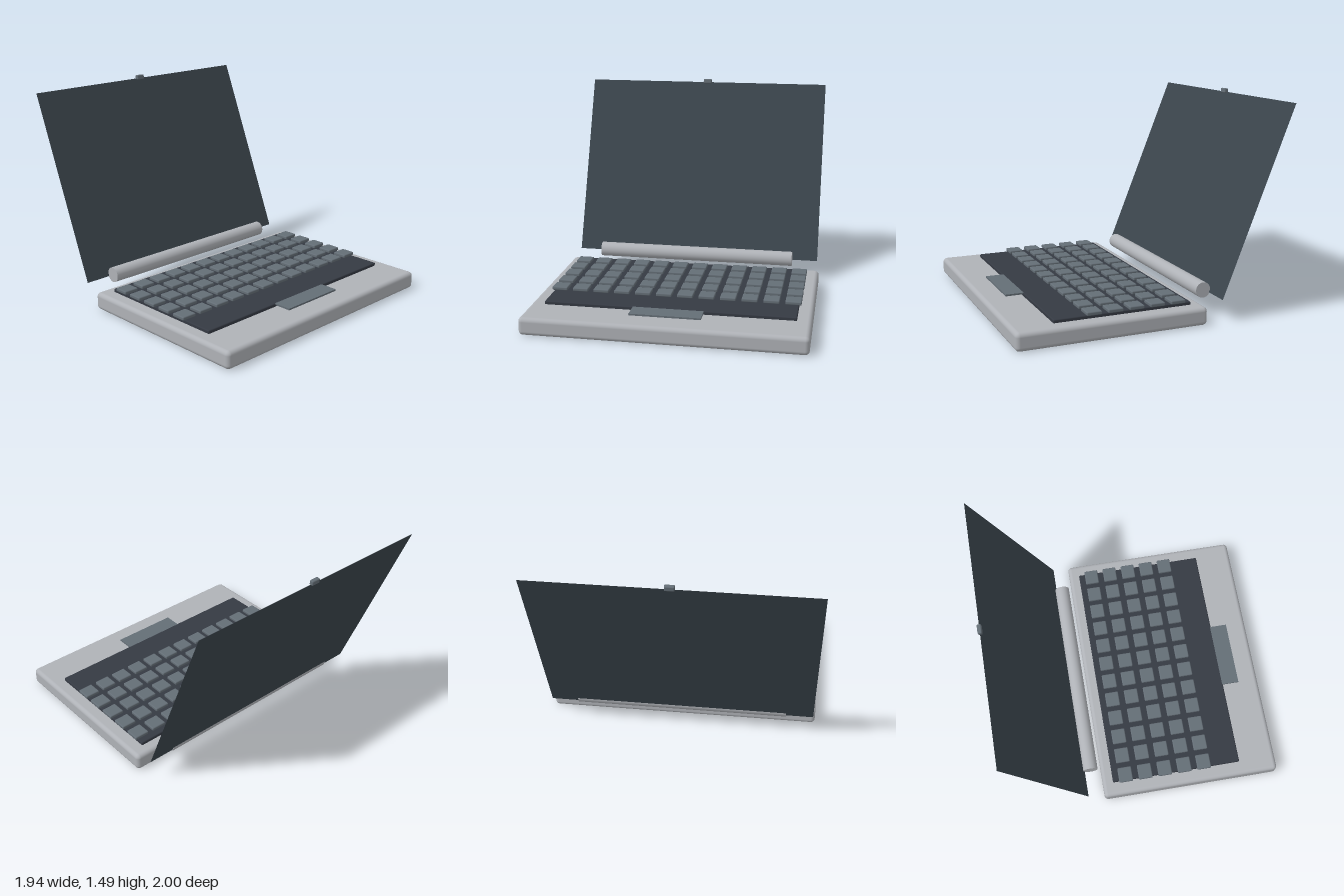
import * as THREE from 'three';
import { RoundedBoxGeometry } from 'three/addons/geometries/RoundedBoxGeometry.js';

function material(name, color, side = THREE.FrontSide) {
  const m = new THREE.MeshStandardMaterial({ color, side });
  m.name = name;
  return m;
}

export function createModel() {
  const silver = material('silver', 0xafb2b7);
  const darkDeck = material('dark deck', 0x353a43);
  const slate = material('slate', 0x646e76);
  const glass = material('screen glass', 0x3b454d, THREE.DoubleSide);

  const laptop = new THREE.Group();
  laptop.name = 'laptop';

  const add = (name, geometry, mat, x, y, z, parent = laptop) => {
    const mesh = new THREE.Mesh(geometry, mat);
    mesh.name = name;
    mesh.position.set(x, y, z);
    parent.add(mesh);
    return mesh;
  };

  // Body and the recessed-looking keyboard deck on top of it
  add('base', new RoundedBoxGeometry(1.94, 0.125, 1.34, 4, 0.03), silver, 0, 0.0625, 0.33);
  add('keyboardDeck', new RoundedBoxGeometry(1.74, 0.03, 0.98, 2, 0.008), darkDeck, 0, 0.133, 0.23);

  // Five rows of twelve keys; the outer columns overhang the deck slightly
  const keys = new THREE.Group();
  keys.name = 'keys';
  laptop.add(keys);
  const keyGeometry = new RoundedBoxGeometry(0.112, 0.026, 0.106, 2, 0.008);
  for (let row = 0; row < 5; row++) {
    for (let col = 0; col < 12; col++) {
      add('key', keyGeometry, slate, (col - 5.5) * 0.151, 0.159, -0.16 + row * 0.151, keys);
    }
  }

  // Trackpad, its rear edge running into the deck
  add('trackpad', new THREE.BoxGeometry(0.49, 0.012, 0.3), slate, 0, 0.1415, 0.695);

  // Hinge barrel
  const hinge = add('hinge', new THREE.CylinderGeometry(0.055, 0.055, 1.515, 32), silver, 0, 0.177, -0.415);
  hinge.rotation.z = Math.PI / 2;

  // Leaning screen sheet, between its bottom and top edges
  const bottom = new THREE.Vector2(-0.46, 0.155);
  const top = new THREE.Vector2(-0.985, 1.46);
  const lean = Math.atan2(top.x - bottom.x, top.y - bottom.y);
  const screen = add('screen', new THREE.PlaneGeometry(1.9, bottom.distanceTo(top)), glass,
    0, (bottom.y + top.y) / 2, (bottom.x + top.x) / 2);
  screen.rotation.x = lean;

  // Camera on the top edge
  const webcam = add('webcam', new RoundedBoxGeometry(0.066, 0.036, 0.03, 2, 0.008), slate, 0, 1.468, -0.983);
  webcam.rotation.x = lean * 0.3;

  return laptop;
}
